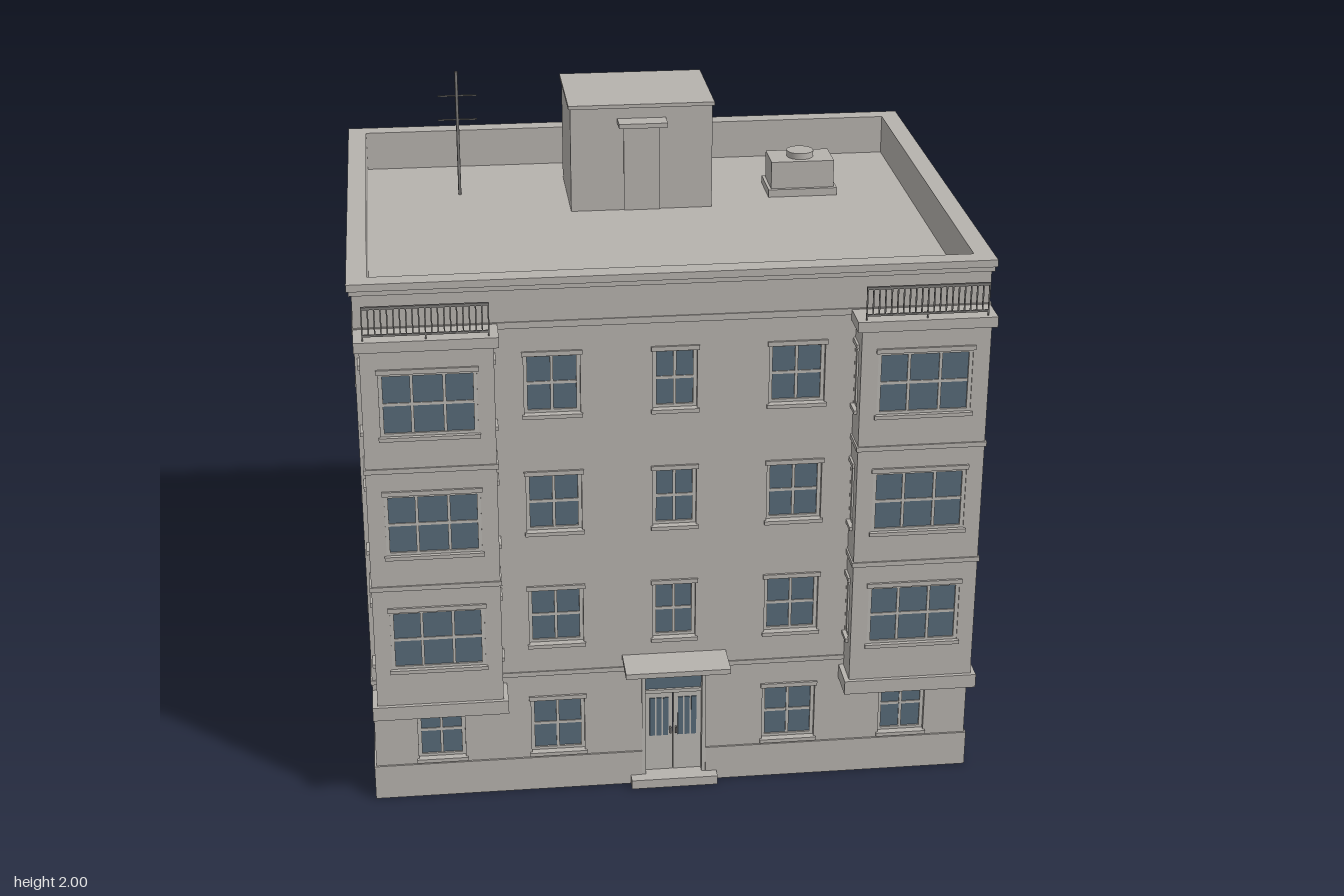
import * as THREE from 'three';

const mat = (name, color, side = THREE.FrontSide) => {
  const m = new THREE.MeshStandardMaterial({ color, side });
  m.name = name;
  return m;
};

export function createModel() {
  const stone = mat('stone', 0xb6b2ad);
  const trim = mat('trim', 0xbab7b2);
  const glass = mat('glass', 0x566977);
  const metal = mat('metal', 0x7c7a78);

  const model = new THREE.Group();
  model.name = 'apartmentBuilding';

  // Body limits and wall thickness
  const X = 0.925, ZF = 0.68, ZB = -0.77, T = 0.045;
  const ZC = (ZF + ZB) / 2, DEPTH = ZF - ZB, TOP = 1.7, ROOF = 1.585;

  const add = (parent, name, geometry, material) => {
    const mesh = new THREE.Mesh(geometry, material);
    mesh.name = name;
    parent.add(mesh);
    return mesh;
  };
  // Box given by its limits on each axis
  const box = (parent, name, x0, x1, y0, y1, z0, z1, material = stone) => {
    const mesh = add(parent, name, new THREE.BoxGeometry(x1 - x0, y1 - y0, z1 - z0), material);
    mesh.position.set((x0 + x1) / 2, (y0 + y1) / 2, (z0 + z1) / 2);
    return mesh;
  };
  const group = (parent, name) => {
    const g = new THREE.Group();
    g.name = name;
    parent.add(g);
    return g;
  };
  const rect = (path, x0, x1, y0, y1) =>
    path.moveTo(x0, y0).lineTo(x1, y0).lineTo(x1, y1).lineTo(x0, y1).closePath();

  // Window with frame, glazing bars, sill and lintel; outer wall face at z = 0
  function addWindow(parent, { x, y0, y1, w, cols = 2, rows = 2 }, t) {
    const g = group(parent, 'window');
    const x0 = x - w / 2, x1 = x + w / 2, f = 0.011, zg = -t * 0.5;
    box(g, 'pane', x0, x1, y0, y1, zg - 0.003, zg + 0.003, glass);
    const zf = [zg - 0.007, zg + 0.009];
    box(g, 'frameSide', x0, x0 + f, y0, y1, ...zf, trim);
    box(g, 'frameSide', x1 - f, x1, y0, y1, ...zf, trim);
    box(g, 'frameTop', x0 + f, x1 - f, y1 - f, y1, ...zf, trim);
    box(g, 'frameBottom', x0 + f, x1 - f, y0, y0 + f, ...zf, trim);
    const b = 0.0045;
    for (let i = 1; i < cols; i++) {
      const c = x0 + (w * i) / cols;
      box(g, 'mullion', c - b, c + b, y0 + f, y1 - f, zg - 0.006, zg + 0.007, trim);
    }
    for (let i = 1; i < rows; i++) {
      const c = y0 + ((y1 - y0) * i) / rows;
      box(g, 'crossBar', x0 + f, x1 - f, c - b, c + b, zg - 0.005, zg + 0.006, trim);
    }
    box(g, 'sill', x0 - 0.006, x1 + 0.006, y0 - 0.01, y0 + 0.002, -t * 0.4, 0.009);
    box(g, 'lintel', x0 - 0.006, x1 + 0.006, y1 - 0.002, y1 + 0.012, -t * 0.4, 0.007);
  }

  // Wall panel facing +z with openings cut through it
  function wall(parent, name, w, y0, y1, t, windows, door) {
    const g = group(parent, name);
    const shape = new THREE.Shape();
    rect(shape, -w / 2, w / 2, y0, y1);
    for (const o of door ? [...windows, door] : windows) {
      const hole = new THREE.Path();
      rect(hole, o.x - o.w / 2, o.x + o.w / 2, o.y0, o.y1);
      shape.holes.push(hole);
    }
    const geo = new THREE.ExtrudeGeometry(shape, { depth: t, bevelEnabled: false });
    add(g, 'wallPanel', geo.translate(0, 0, -t), stone);
    windows.forEach((o) => addWindow(g, o, t));
    return g;
  }

  // Rectangular ring around the body, standing out by o and reaching inward by i
  function ring(name, o, i, y0, y1) {
    const s = new THREE.Shape(), h = new THREE.Path();
    rect(s, -X - o, X + o, -ZF - o, -ZB + o);
    rect(h, -X + i, X - i, -ZF + i, -ZB - i);
    s.holes.push(h);
    const geo = new THREE.ExtrudeGeometry(s, { depth: y1 - y0, bevelEnabled: false });
    add(model, name, geo.rotateX(-Math.PI / 2).translate(0, y0, 0), stone);
  }

  // Openings on each floor
  const floors = [0.13, 0.513, 0.896, 1.279];
  const column = (x, w, list = floors) => list.map((y) => ({ x, w, y0: y, y1: y + 0.19 }));
  const upper = floors.slice(1);
  const door = { x: 0, w: 0.2, y0: 0.03, y1: 0.4 };

  const front = wall(model, 'frontWall', 2 * X, 0, TOP, T, [
    ...column(-0.36, 0.165), ...column(0.36, 0.165), ...column(0, 0.13, upper),
    ...column(-0.72, 0.145, [0.13]), ...column(0.72, 0.145, [0.13]),
  ], door);
  front.position.z = ZF;

  const back = wall(model, 'backWall', 2 * X, 0, TOP, T,
    [-0.72, -0.36, 0, 0.36, 0.72].flatMap((x) => column(x, Math.abs(x) > 0.5 ? 0.15 : 0.165)));
  back.rotation.y = Math.PI;
  back.position.z = ZB;

  for (const s of [-1, 1]) {
    const side = wall(model, s > 0 ? 'leftWall' : 'rightWall', DEPTH - 2 * T, 0, TOP, T,
      [0.32, -0.4].flatMap((z) => column(-s * (z - ZC), 0.14)));
    side.rotation.y = (s * Math.PI) / 2;
    side.position.set(s * X, 0, ZC);
  }

  // Plinth, leaving the doorway free
  const P = 0.006, PH = 0.115;
  box(model, 'plinthBack', -X - P, X + P, 0, PH, ZB - P, ZB);
  for (const s of [-1, 1]) {
    const xs = [s * X, s * (X + P)].sort((a, b) => a - b);
    box(model, 'plinthSide', ...xs, 0, PH, ZB, ZF);
    const xf = [s * 0.1, s * (X + P)].sort((a, b) => a - b);
    box(model, 'plinthFront', ...xf, 0, PH, ZF, ZF + P);
  }

  // String courses, cornice and parapet cap
  ring('lowerCourse', 0.004, 0.01, 0.405, 0.42);
  ring('upperCourse', 0.004, 0.01, 1.555, 1.575);
  ring('cornice', 0.008, 0.01, 1.675, 1.69);
  ring('parapetCap', 0.014, T, 1.69, 1.712);
  box(model, 'roof', -X + T, X - T, ROOF - 0.025, ROOF, ZB + T, ZF - T);

  // Projecting bays with balcony railings
  for (const s of [-1, 1]) {
    const bay = group(model, s > 0 ? 'leftBay' : 'rightBay');
    bay.position.set(s * 0.72, 0, 0);
    const hw = 0.19, zf = 0.775, t = 0.025;
    const rows = upper.map((y) => y - 0.008);
    wall(bay, 'bayFront', 2 * hw, 0.38, 1.545, t,
      rows.map((y) => ({ x: 0, w: 0.28, y0: y, y1: y + 0.2, cols: 3 }))).position.z = zf;
    for (const e of [-1, 1]) {
      const cheek = wall(bay, 'bayCheek', zf - t - ZF, 0.38, 1.545, t,
        rows.map((y) => ({ x: e * 0.008, w: 0.05, y0: y, y1: y + 0.2, cols: 1, rows: 1 })));
      cheek.rotation.y = (e * Math.PI) / 2;
      cheek.position.set(e * hw, 0, (ZF + zf - t) / 2);
    }
    box(bay, 'bayBase', -0.205, 0.205, 0.34, 0.385, ZF, 0.787);
    box(bay, 'bayRoof', -0.205, 0.205, 1.54, 1.572, ZF, 0.787);
    for (const y of [0.775, 1.158]) {
      box(bay, 'bayCourseFront', -hw - 0.005, hw + 0.005, y, y + 0.015, zf, zf + 0.005);
      for (const e of [-1, 1]) {
        const xs = [e * hw, e * (hw + 0.005)].sort((a, b) => a - b);
        box(bay, 'bayCourseSide', ...xs, y, y + 0.015, ZF, zf);
      }
    }
    const rail = group(bay, 'railing');
    box(rail, 'topRail', -0.18, 0.18, 1.666, 1.674, 0.767, 0.775, metal);
    box(rail, 'bottomRail', -0.18, 0.18, 1.584, 1.59, 0.768, 0.774, metal);
    for (let i = 0; i <= 20; i++) {
      const x = -0.178 + (0.356 * i) / 20;
      box(rail, 'baluster', x - 0.002, x + 0.002, i % 10 ? 1.588 : 1.57, 1.668, 0.769, 0.773, metal);
    }
  }

  // Entrance: frame, transom, double door, canopy and step
  const entry = group(model, 'entrance');
  entry.position.z = ZF;
  const zd = -0.02;
  box(entry, 'doorTransom', -0.09, 0.09, 0.32, 0.39, zd - 0.006, zd, glass);
  box(entry, 'transomBar', -0.09, 0.09, 0.31, 0.322, zd - 0.01, zd + 0.008, trim);
  box(entry, 'doorFrameTop', -0.1, 0.1, 0.388, 0.4, zd - 0.01, 0.004, trim);
  for (const s of [-1, 1]) {
    const at = (a, b) => [s * a, s * b].sort((p, q) => p - q);
    box(entry, 'doorFrame', ...at(0.088, 0.1), 0.03, 0.388, zd - 0.01, 0.004, trim);
    box(entry, 'doorLeaf', ...at(0.001, 0.088), 0.03, 0.31, zd - 0.012, zd, trim);
    for (const c of [0.023, 0.044, 0.065])
      box(entry, 'doorPane', ...at(c - 0.008, c + 0.008), 0.155, 0.29, zd, zd + 0.003, glass);
    box(entry, 'doorHandle', ...at(0.006, 0.011), 0.165, 0.185, zd, zd + 0.012, metal);
  }
  box(entry, 'canopy', -0.16, 0.16, 0.443, 0.46, 0, 0.12);
  box(entry, 'step', -0.135, 0.135, 0, 0.03, -T, 0.04);

  // Stair house on the roof
  const house = group(model, 'stairHouse');
  box(house, 'houseWalls', -0.23, 0.225, ROOF, 1.925, -0.583, -0.223);
  box(house, 'houseRoof', -0.236, 0.231, 1.925, 1.937, -0.59, -0.217);
  box(house, 'houseDoor', -0.06, 0.055, ROOF, 1.86, -0.223, -0.218);
  box(house, 'houseCanopy', -0.08, 0.075, 1.875, 1.89, -0.223, -0.16);

  // Ventilation unit
  const vent = group(model, 'ventUnit');
  box(vent, 'ventBase', 0.422, 0.648, ROOF, 1.61, -0.442, -0.292);
  box(vent, 'ventBody', 0.432, 0.638, 1.61, 1.7, -0.43, -0.304);
  add(vent, 'ventFan', new THREE.CylinderGeometry(0.044, 0.044, 0.02, 24), stone)
    .position.set(0.535, 1.71, -0.367);

  // Aerial
  const aerial = group(model, 'aerial');
  add(aerial, 'mast', new THREE.CylinderGeometry(0.005, 0.005, 2 - ROOF, 8), metal)
    .position.set(-0.58, (2 + ROOF) / 2, -0.432);
  for (const y of [1.84, 1.92])
    box(aerial, 'aerialArm', -0.642, -0.516, y - 0.002, y + 0.002, -0.434, -0.43, metal);

  // Downpipes at the back corners
  for (const s of [-1, 1]) {
    const x = s * 0.888;
    const path = new THREE.CurvePath();
    const pts = [[0, -0.778], [1.63, -0.778], [1.665, -0.792], [1.68, -0.794]]
      .map(([y, z]) => new THREE.Vector3(x, y, z));
    for (let i = 1; i < pts.length; i++) path.add(new THREE.LineCurve3(pts[i - 1], pts[i]));
    add(model, 'downpipe', new THREE.TubeGeometry(path, 60, 0.006, 8), metal);
    for (const y of [0.25, 0.75, 1.25])
      box(model, 'pipeBracket', x - 0.009, x + 0.009, y, y + 0.01, -0.787, ZB, metal);
  }

  return model;
}
